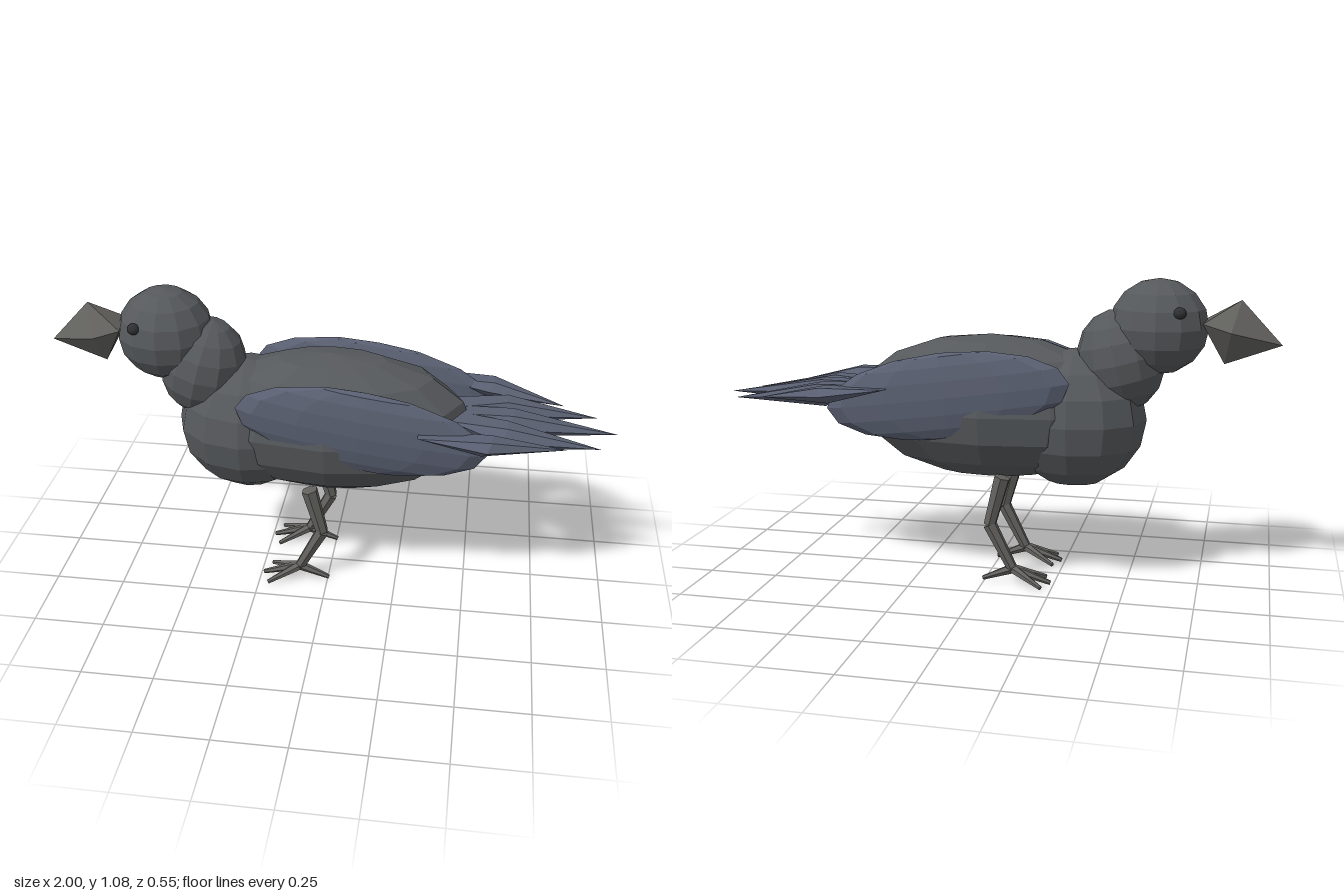
import * as THREE from 'three';
import { ConvexGeometry } from 'three/addons/geometries/ConvexGeometry.js';

const material = (color) => new THREE.MeshStandardMaterial({ color, flatShading: true });
const V = (x, y, z) => new THREE.Vector3(x, y, z);

export function createModel() {
  const bird = new THREE.Group();
  bird.name = 'bird';
  const plumage = material(0x56595c);
  const wingBlue = material(0x5a6072);
  const horn = material(0x63625f);
  const dark = material(0x303133);

  const add = (name, geometry, mat, parent = bird) => {
    const mesh = new THREE.Mesh(geometry, mat);
    mesh.name = name;
    parent.add(mesh);
    return mesh;
  };

  // Faceted ellipsoid: centre, radii, lean about z
  const blob = (name, centre, radii, mat, lean = 0, parent = bird) => {
    const mesh = add(name, new THREE.SphereGeometry(1, 12, 8), mat, parent);
    mesh.position.set(...centre);
    mesh.scale.set(...radii);
    mesh.rotation.z = lean;
    return mesh;
  };

  // Tapered six-sided rod between two points
  const rod = (name, from, to, r0, r1, parent) => {
    const dir = to.clone().sub(from);
    const mesh = add(name, new THREE.CylinderGeometry(r1, r0, dir.length(), 6), horn, parent);
    mesh.position.copy(from).add(to).multiplyScalar(0.5);
    mesh.quaternion.setFromUnitVectors(V(0, 1, 0), dir.normalize());
  };

  // Feather: narrow root, six-point middle section, pointed tip
  const feather = (name, root, mid, tip, halfWidth, halfHeight, rootWidth) => {
    const points = [tip];
    for (const s of [-1, 1]) points.push(V(root.x, root.y, root.z + s * rootWidth));
    for (let i = 0; i < 6; i++) {
      const a = (i * Math.PI) / 3;
      const up = Math.sin(a);
      points.push(V(mid.x + up * 0.02, mid.y + up * halfHeight, mid.z + Math.cos(a) * halfWidth));
    }
    add(name, new ConvexGeometry(points), wingBlue);
  };

  // Body, chest, neck and head
  blob('body', [0, 0.622, 0], [0.5, 0.257, 0.24], plumage);
  blob('chest', [-0.3, 0.592, 0], [0.253, 0.247, 0.215], plumage);
  blob('neck', [-0.457, 0.803, 0], [0.152, 0.178, 0.152], plumage, -0.25);
  blob('head', [-0.585, 0.923, 0], [0.17, 0.165, 0.155], plumage);

  // Wedge-shaped beak
  add('beak', new ConvexGeometry([
    V(-1, 0.87, 0), V(-0.86, 1.02, 0), V(-0.81, 0.8, 0),
    V(-0.83, 0.916, 0.08), V(-0.83, 0.916, -0.08),
    V(-0.735, 0.942, 0.06), V(-0.735, 0.942, -0.06),
  ]), horn);

  // Middle tail feather
  feather('middleTailFeather', V(0.42, 0.69, 0), V(0.62, 0.652, 0), V(1, 0.63, 0), 0.06, 0.047, 0.03);

  for (const [side, s] of [['left', -1], ['right', 1]].map(([n, k]) => [n, -k])) {
    // The bird looks along -x, so pairs are mirrored across z
    blob(`${side}Eye`, [-0.663, 0.985, s * 0.125], [0.022, 0.02, 0.02], dark);
    blob(`${side}Wing`, [0.122, 0.685, s * 0.195], [0.435, 0.152, 0.046], wingBlue, -0.14);
    feather(`${side}TailFeather`, V(0.42, 0.69, s * 0.05), V(0.6, 0.655, s * 0.095),
      V(0.935, 0.63, s * 0.11), 0.06, 0.045, 0.04);
    feather(`${side}WingTip`, V(0.32, 0.71, s * 0.228), V(0.55, 0.678, s * 0.218),
      V(0.82, 0.645, s * 0.155), 0.055, 0.03, 0.032);

    // Leg with bent knee, three front toes and one back toe
    const leg = new THREE.Group();
    leg.name = `${side}Leg`;
    leg.position.z = s * 0.125;
    bird.add(leg);
    const knee = V(-0.02, 0.215, 0);
    const ankle = V(-0.103, 0.055, 0);
    rod('thigh', V(-0.065, 0.39, 0), knee, 0.03, 0.023, leg);
    rod('shin', knee, ankle, 0.025, 0.019, leg);
    for (const t of [-1, 0, 1]) {
      rod('frontToe', ankle, V(t ? -0.215 : -0.24, 0.012, t * 0.062), 0.018, 0.008, leg);
    }
    rod('backToe', ankle, V(0.005, 0.012, 0), 0.018, 0.008, leg);
  }
  return bird;
}
